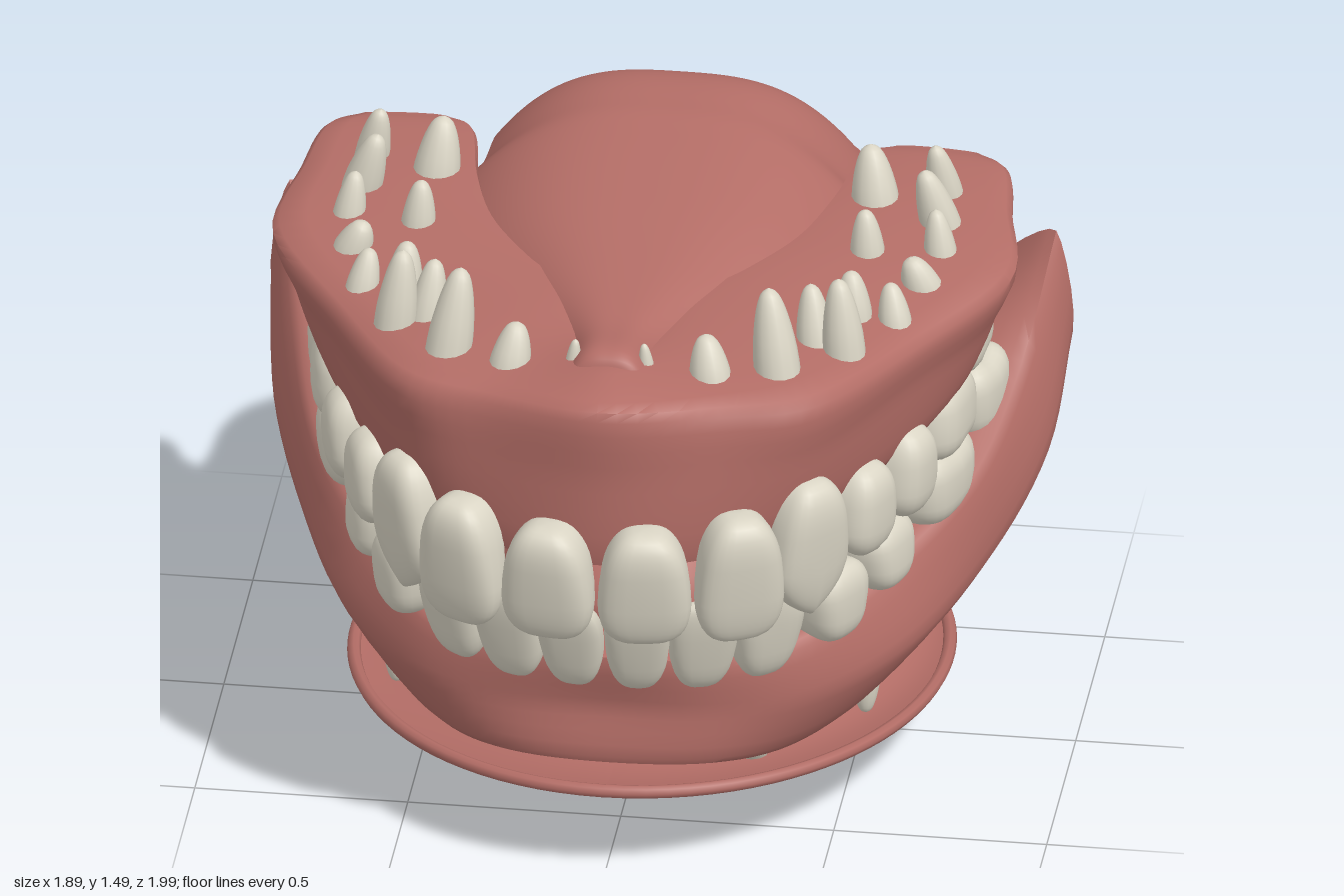
import * as THREE from 'three';
import { mergeVertices, toCreasedNormals } from 'three/addons/utils/BufferGeometryUtils.js';

const gumPink = new THREE.MeshStandardMaterial({ color: 0xb36d66, side: THREE.DoubleSide });
gumPink.name = 'gum pink';
const toothIvory = new THREE.MeshStandardMaterial({ color: 0xdad5c5 });
toothIvory.name = 'tooth ivory';

function mesh(name, geometry, material) {
  const m = new THREE.Mesh(geometry, material);
  m.name = name;
  return m;
}

function build(points, index) {
  const g = new THREE.BufferGeometry();
  g.setAttribute('position', new THREE.Float32BufferAttribute(points.flat(), 3));
  g.setIndex(index);
  g.computeVertexNormals();
  return g;
}

// Skin a mirrored arch through cross-sections given for the left half, with pointed end caps.
function archLoft(half, tip) {
  const flip = (s) => s.map(([x, y, z]) => [-x, y, z]);
  const stations = [...half.slice(1).reverse().map(flip), ...half];
  const LOOP = 30, ALONG = (stations.length - 1) * 6;
  const rings = stations.map((s) => {
    const c = new THREE.CatmullRomCurve3(s.map((p) => new THREE.Vector3(...p)), true, 'catmullrom', 0.3);
    return Array.from({ length: LOOP }, (_, j) => c.getPoint(j / LOOP));
  });
  const paths = rings[0].map((_, j) => new THREE.CatmullRomCurve3(rings.map((r) => r[j]), false, 'catmullrom', 0.5));
  const pts = [], idx = [];
  for (let i = 0; i <= ALONG; i++) {
    for (const p of paths) pts.push(p.getPoint(i / ALONG).toArray());
  }
  const start = pts.length, end = start + 1, last = ALONG * LOOP;
  pts.push([-tip[0], tip[1], tip[2]], tip);
  for (let j = 0; j < LOOP; j++) {
    const k = (j + 1) % LOOP;
    for (let i = 0; i < ALONG; i++) {
      const a = i * LOOP, b = a + LOOP;
      idx.push(a + j, a + k, b + j, a + k, b + k, b + j);
    }
    idx.push(k, j, start, last + j, last + k, end);
  }
  return toCreasedNormals(build(pts, idx), 0.8);
}

// Open grid surface from f(u, v), u and v in 0..1.
function sheet(f, nu, nv) {
  const pts = [], idx = [], row = nu + 1;
  for (let j = 0; j <= nv; j++) for (let i = 0; i <= nu; i++) pts.push(f(i / nu, j / nv));
  for (let j = 0; j < nv; j++) {
    for (let i = 0; i < nu; i++) {
      const a = j * row + i;
      idx.push(a, a + 1, a + row, a + 1, a + row + 1, a + row);
    }
  }
  return build(pts, idx);
}

// Crown styles: depth at the biting end, narrowing at the neck, point of the tip, depth of the groove
const STYLES = {
  incisor: { edge: 0.45, narrow: 0.25, point: 0, groove: 0 },
  canine: { edge: 0.5, narrow: 0.25, point: 0.35, groove: 0 },
  premolar: { edge: 0.85, narrow: 0.22, point: 0.25, groove: 0.08 },
  molar: { edge: 1, narrow: 0.15, point: 0, groove: 0.13 },
};

// Tooth crown: rounded block, biting end at -y, neck at +y.
function crown(w, h, d, kind) {
  const { edge, narrow, point, groove } = STYLES[kind];
  let g = new THREE.SphereGeometry(1, 24, 18);
  g.deleteAttribute('uv');
  g.deleteAttribute('normal');
  g = mergeVertices(g, 1e-4);
  const p = g.attributes.position;
  const soft = (n) => Math.sign(n) * Math.abs(n) ** 0.68;
  for (let i = 0; i < p.count; i++) {
    const x = soft(p.getX(i)), z = soft(p.getZ(i));
    let y = soft(p.getY(i));
    const t = (y + 1) / 2;
    if (y < 0) y -= y * (point * Math.abs(x) + groove * (Math.exp(-((x / 0.3) ** 2)) + Math.exp(-((z / 0.3) ** 2))));
    p.setXYZ(i, x * w / 2 * (1 - narrow * t * t), y * h / 2, z * d / 2 * (edge + (0.95 - edge) * t));
  }
  g.computeVertexNormals();
  return g;
}

// Rows of [x, y, z, width, height, depth, yaw, tilt, kind], mirrored to both sides.
function toothRow(name, rows, flip) {
  const group = new THREE.Group();
  group.name = name;
  for (const [x, y, z, w, h, d, yaw, tilt, kind] of rows) {
    const g = crown(w, h, d, kind);
    for (const s of [1, -1]) {
      const m = mesh(kind + 'Crown', g, toothIvory);
      m.position.set(s * x, y, z);
      m.rotation.set(tilt, s * yaw, flip ? Math.PI : 0, 'YXZ');
      group.add(m);
    }
  }
  return group;
}

// Tapered roots, rows of [base xyz, tip xyz, radius].
function rootRow(name, rows) {
  const group = new THREE.Group();
  group.name = name;
  const profile = [[1, 0], [0.95, 0.35], [0.72, 0.7], [0.4, 0.93], [0, 1]].map((p) => new THREE.Vector2(...p));
  const g = new THREE.LatheGeometry(new THREE.SplineCurve(profile).getPoints(12), 14);
  for (const [x, y, z, tx, ty, tz, r] of rows) {
    for (const s of [1, -1]) {
      const m = mesh('root', g, toothIvory);
      const dir = new THREE.Vector3(s * (tx - x), ty - y, tz - z);
      m.position.set(s * x, y, z);
      m.scale.set(r, dir.length(), r);
      m.quaternion.setFromUnitVectors(new THREE.Vector3(0, 1, 0), dir.normalize());
      group.add(m);
    }
  }
  return group;
}

export function createModel() {
  const model = new THREE.Group();
  model.name = 'mouthAnatomy';

  // Gums: each section runs outer top, outer middle, outer bottom, inner bottom, inner middle, inner top
  model.add(mesh('upperGum', archLoft([
    [[0, 1.3, 0.91], [0, 1.12, 0.91], [0, 0.89, 0.9], [0, 0.9, 0.76], [0, 1.12, 0.66], [0, 1.33, 0.7]],
    [[0.27, 1.28, 0.81], [0.27, 1.12, 0.84], [0.24, 0.89, 0.84], [0.2, 0.9, 0.7], [0.15, 1.12, 0.58], [0.09, 1.31, 0.56]],
    [[0.48, 1.28, 0.72], [0.48, 1.12, 0.73], [0.45, 0.93, 0.7], [0.36, 0.94, 0.57], [0.28, 1.12, 0.42], [0.15, 1.32, 0.36]],
    [[0.67, 1.28, 0.43], [0.67, 1.15, 0.43], [0.62, 0.95, 0.43], [0.48, 0.96, 0.33], [0.4, 1.12, 0.25], [0.26, 1.33, 0.23]],
    [[0.85, 1.31, 0.14], [0.82, 1.17, 0.14], [0.75, 1.01, 0.14], [0.57, 1.01, 0.12], [0.47, 1.15, 0.09], [0.36, 1.34, 0.08]],
    [[0.82, 1.34, -0.12], [0.81, 1.22, -0.12], [0.76, 1.1, -0.1], [0.6, 1.1, -0.1], [0.5, 1.2, -0.1], [0.42, 1.35, -0.1]],
    [[0.79, 1.35, -0.29], [0.79, 1.27, -0.29], [0.73, 1.18, -0.25], [0.6, 1.18, -0.25], [0.5, 1.25, -0.29], [0.46, 1.35, -0.31]],
    [[0.72, 1.34, -0.37], [0.71, 1.29, -0.37], [0.68, 1.23, -0.33], [0.6, 1.23, -0.33], [0.54, 1.28, -0.36], [0.53, 1.34, -0.38]],
  ], [0.63, 1.3, -0.39]), gumPink));

  model.add(mesh('lowerGum', archLoft([
    [[0, 0.55, 0.73], [0, 0.4, 0.7], [0, 0.26, 0.71], [0, 0.26, 0.5], [0, 0.4, 0.5], [0, 0.55, 0.58]],
    [[0.25, 0.54, 0.69], [0.25, 0.4, 0.69], [0.24, 0.26, 0.68], [0.2, 0.26, 0.47], [0.2, 0.4, 0.46], [0.21, 0.55, 0.53]],
    [[0.45, 0.56, 0.58], [0.47, 0.41, 0.6], [0.41, 0.25, 0.55], [0.3, 0.26, 0.35], [0.3, 0.42, 0.34], [0.35, 0.57, 0.42]],
    [[0.6, 0.62, 0.36], [0.67, 0.44, 0.36], [0.55, 0.27, 0.33], [0.42, 0.27, 0.22], [0.42, 0.45, 0.2], [0.48, 0.62, 0.26]],
    [[0.77, 0.73, 0.08], [0.81, 0.51, 0.05], [0.64, 0.31, 0.03], [0.53, 0.31, -0.02], [0.53, 0.5, 0], [0.58, 0.73, 0.03]],
    [[0.85, 0.9, -0.18], [0.91, 0.66, -0.2], [0.72, 0.36, -0.22], [0.6, 0.37, -0.25], [0.6, 0.6, -0.25], [0.65, 0.86, -0.2]],
    [[0.9, 1.13, -0.4], [0.94, 0.87, -0.39], [0.77, 0.45, -0.49], [0.67, 0.46, -0.52], [0.6, 0.75, -0.47], [0.76, 1.0, -0.51]],
  ], [0.74, 0.9, -0.56]), gumPink));

  // Vaulted palate: z, half width, centre height, edge height along its length
  const arch = [
    [0.76, 0.09, 1.29, 1.27], [0.72, 0.1, 1.36, 1.29], [0.55, 0.14, 1.35, 1.25], [0.3, 0.29, 1.37, 1.25],
    [0.05, 0.43, 1.4, 1.24], [-0.2, 0.48, 1.43, 1.24], [-0.33, 0.44, 1.44, 1.24], [-0.52, 0.43, 1.42, 1.22],
    [-0.7, 0.43, 1.27, 1.08], [-0.82, 0.43, 1.16, 0.97], [-0.94, 0.43, 1.11, 0.94],
  ];
  const place = new THREE.CatmullRomCurve3(arch.map(([z, w, y]) => new THREE.Vector3(w, y, z)), false, 'catmullrom');
  const edge = new THREE.CatmullRomCurve3(arch.map(([z, w, , y]) => new THREE.Vector3(w, y, z)), false, 'catmullrom');
  model.add(mesh('palate', sheet((u, v) => {
    const c = place.getPoint(v), e = edge.getPoint(v), k = 2 * u - 1, x = k * c.x;
    const uvula = Math.exp(-((x / 0.07) ** 2)) * THREE.MathUtils.smoothstep(-c.z, 0.78, 0.94);
    return [x, e.y + (c.y - e.y) * (1 - Math.abs(k) ** 3) - 0.24 * uvula, c.z - 0.06 * uvula];
  }, 48, 66), gumPink));

  // Tongue: ellipsoid, a little narrower above, with the upper front drawn forward
  const tongue = new THREE.SphereGeometry(1, 48, 32);
  const tp = tongue.attributes.position;
  for (let i = 0; i < tp.count; i++) {
    const y = tp.getY(i), z = tp.getZ(i);
    const reach = z > 0 ? 0.6 + 0.25 * THREE.MathUtils.smoothstep(y, -0.4, 0.3) : 0.6;
    const width = 0.5 - 0.04 * THREE.MathUtils.smoothstep(y, -0.5, 0.1);
    tp.setXYZ(i, tp.getX(i) * width, 0.46 + y * 0.46, -0.25 + z * reach);
  }
  tongue.computeVertexNormals();
  model.add(mesh('tongue', tongue, gumPink));

  // Flared floor of the mouth, shallow in front, and its tilted rim
  const rimPoint = (a) => [0.69 * Math.sin(a), 0.165 + 0.08 * Math.cos(a), -0.04 + 0.86 * Math.cos(a)];
  model.add(mesh('mouthFloor', sheet((u, v) => {
    const a = u * Math.PI * 2, [x, y, z] = rimPoint(a), front = (1 + Math.cos(a)) / 2;
    const height = y + (0.45 - y) * v ** (1 + 3.5 * front) - 0.05 * front * Math.sin(Math.PI * v);
    return [x + (0.455 * Math.sin(a) - x) * v, height, z + (-0.25 + 0.59 * Math.cos(a) - z) * v];
  }, 72, 14), gumPink));
  const rim = new THREE.CatmullRomCurve3(
    Array.from({ length: 32 }, (_, i) => new THREE.Vector3(...rimPoint(i / 32 * Math.PI * 2))), true);
  model.add(mesh('floorRim', new THREE.TubeGeometry(rim, 96, 0.016, 8, true), gumPink));

  // Teeth
  model.add(toothRow('upperTeeth', [
    [0.113, 0.855, 0.92, 0.228, 0.3, 0.18, 0.15, 0, 'incisor'],
    [0.325, 0.855, 0.845, 0.22, 0.33, 0.18, 0.45, 0, 'incisor'],
    [0.465, 0.875, 0.71, 0.22, 0.36, 0.18, 0.85, 0, 'canine'],
    [0.555, 0.885, 0.53, 0.19, 0.25, 0.19, 1.15, 0, 'premolar'],
    [0.62, 0.9, 0.36, 0.18, 0.25, 0.22, 1.25, 0, 'premolar'],
    [0.665, 0.945, 0.14, 0.26, 0.22, 0.23, 1.4, 0, 'molar'],
    [0.68, 1.035, -0.1, 0.24, 0.22, 0.22, 1.5, 0, 'molar'],
  ], false));
  model.add(toothRow('lowerTeeth', [
    [0.077, 0.62, 0.78, 0.16, 0.28, 0.13, 0.1, 0.45, 'incisor'],
    [0.225, 0.62, 0.745, 0.17, 0.28, 0.13, 0.3, 0.4, 'incisor'],
    [0.365, 0.635, 0.67, 0.18, 0.29, 0.15, 0.65, 0.35, 'canine'],
    [0.49, 0.65, 0.53, 0.19, 0.22, 0.18, 1.05, 0.1, 'premolar'],
    [0.575, 0.69, 0.36, 0.19, 0.2, 0.19, 1.2, 0, 'premolar'],
    [0.655, 0.755, 0.12, 0.28, 0.21, 0.22, 1.3, 0, 'molar'],
    [0.72, 0.855, -0.12, 0.24, 0.21, 0.2, 1.35, 0, 'molar'],
  ], true));

  // Root tips showing through the gums
  model.add(rootRow('upperRoots', [
    [0.09, 1.27, 0.69, 0.08, 1.37, 0.69, 0.02], [0.24, 1.26, 0.69, 0.22, 1.39, 0.66, 0.05],
    [0.39, 1.26, 0.64, 0.36, 1.49, 0.6, 0.055], [0.53, 1.26, 0.52, 0.51, 1.47, 0.5, 0.05],
    [0.46, 1.26, 0.5, 0.44, 1.43, 0.46, 0.045], [0.53, 1.27, 0.37, 0.52, 1.41, 0.35, 0.045],
    [0.63, 1.26, 0.37, 0.61, 1.38, 0.34, 0.04], [0.68, 1.27, 0.21, 0.64, 1.38, 0.22, 0.048],
    [0.53, 1.29, 0.12, 0.52, 1.44, 0.11, 0.042], [0.7, 1.28, 0.09, 0.68, 1.43, 0.07, 0.04],
    [0.69, 1.3, -0.03, 0.64, 1.48, -0.02, 0.048], [0.52, 1.3, -0.1, 0.5, 1.48, -0.13, 0.057],
    [0.68, 1.31, -0.16, 0.65, 1.48, -0.14, 0.042],
  ]));
  model.add(rootRow('lowerRoots', [
    [0.06, 0.28, 0.6, 0.055, 0.09, 0.48, 0.03], [0.14, 0.28, 0.57, 0.13, 0.09, 0.46, 0.032],
    [0.31, 0.29, 0.55, 0.3, 0.06, 0.39, 0.045], [0.55, 0.34, 0.31, 0.55, 0.22, 0.32, 0.035],
    [0.57, 0.34, 0.17, 0.56, 0.22, 0.13, 0.042],
  ]));
  return model;
}
